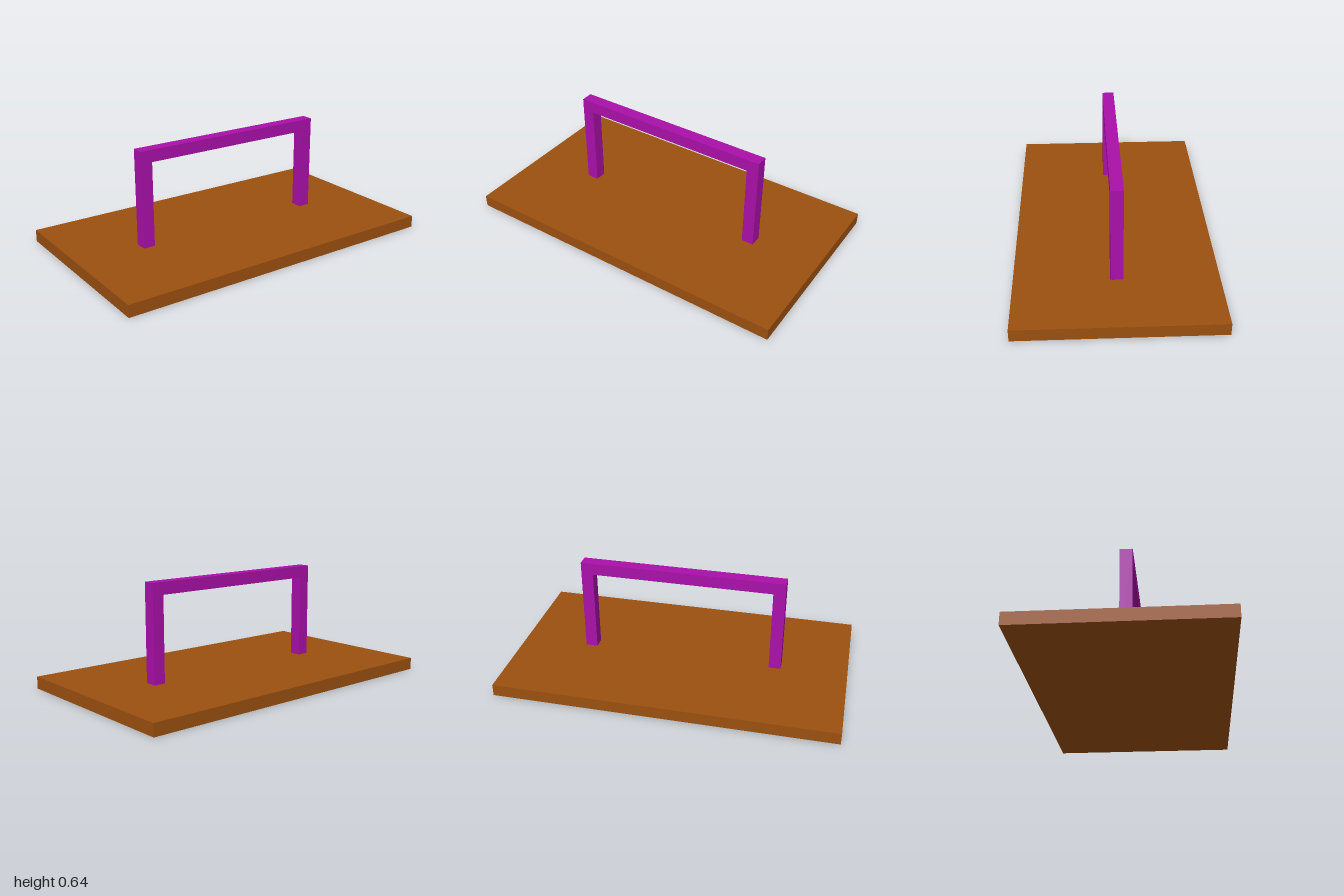
import * as THREE from 'three';

const BAR = 1 / 14; // thickness of the board and of the square bar
const BOARD_WIDTH = 16 * BAR;
const BOARD_LENGTH = 28 * BAR;
const HANDLE_LENGTH = 17 * BAR;
const HANDLE_TOP = 9 * BAR;

function part(name, geometry, color) {
  const mesh = new THREE.Mesh(geometry, new THREE.MeshStandardMaterial({ color }));
  mesh.name = name;
  return mesh;
}

export function createModel() {
  const model = new THREE.Group();
  model.name = 'boardWithHandle';

  // Flat board lying on the ground
  const board = part('board', new THREE.BoxGeometry(BOARD_WIDTH, BAR, BOARD_LENGTH), 0x9c5010);
  board.position.y = BAR / 2;
  model.add(board);

  // Square-cornered handle: two posts and a top bar as one extruded outline
  const outer = HANDLE_LENGTH / 2;
  const inner = outer - BAR;
  const outline = new THREE.Shape([
    [-outer, BAR], [-inner, BAR], [-inner, HANDLE_TOP - BAR], [inner, HANDLE_TOP - BAR],
    [inner, BAR], [outer, BAR], [outer, HANDLE_TOP], [-outer, HANDLE_TOP],
  ].map(([z, y]) => new THREE.Vector2(z, y)));
  const handleGeometry = new THREE.ExtrudeGeometry(outline, { depth: BAR, bevelEnabled: false });
  handleGeometry.translate(0, 0, -BAR / 2).rotateY(Math.PI / 2);
  model.add(part('handle', handleGeometry, 0xaa10aa));

  return model;
}
